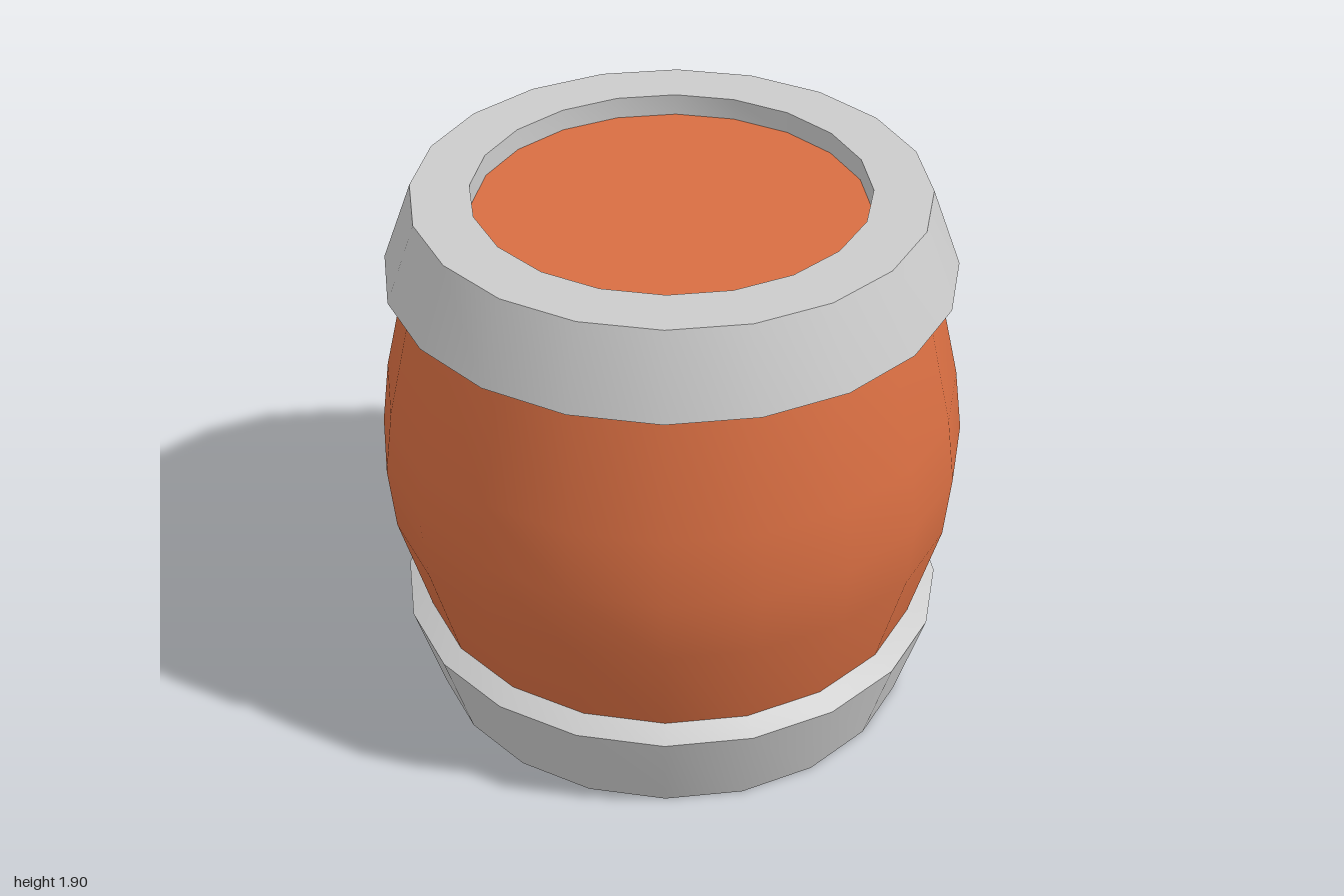
import * as THREE from 'three';
import { toCreasedNormals } from 'three/addons/utils/BufferGeometryUtils.js';

const SIDES = 20;

// Turned part: profile of [radius, y] pairs running anticlockwise, sharp at profile corners
function turned(name, profile, material) {
  const points = profile.map(([r, y]) => new THREE.Vector2(r, y));
  const geometry = toCreasedNormals(new THREE.LatheGeometry(points, SIDES), 0.55);
  const mesh = new THREE.Mesh(geometry, material);
  mesh.name = name;
  return mesh;
}

export function createModel() {
  const group = new THREE.Group();
  group.name = 'barrel';
  const wood = new THREE.MeshStandardMaterial({ color: 0xd86e42 });
  const metal = new THREE.MeshStandardMaterial({ color: 0xcccccc });

  // Bulging staves, closed by the recessed lid and base
  group.add(turned('body', [
    [0, 0.075], [0.8, 0.075], [0.88, 0.375], [0.98, 0.74], [1, 0.97],
    [0.97, 1.2], [0.88, 1.59], [0.81, 1.825], [0, 1.825],
  ], wood));

  // Flared end hoops with a wide rim and a straight inner wall
  group.add(turned('bottomHoop', [
    [0.655, 0.075], [0.655, 0], [0.85, 0], [0.95, 0.335], [0.875, 0.375],
  ], metal));
  group.add(turned('topHoop', [
    [0.875, 1.59], [0.95, 1.63], [0.85, 1.9], [0.655, 1.9], [0.655, 1.825],
  ], metal));

  return group;
}
